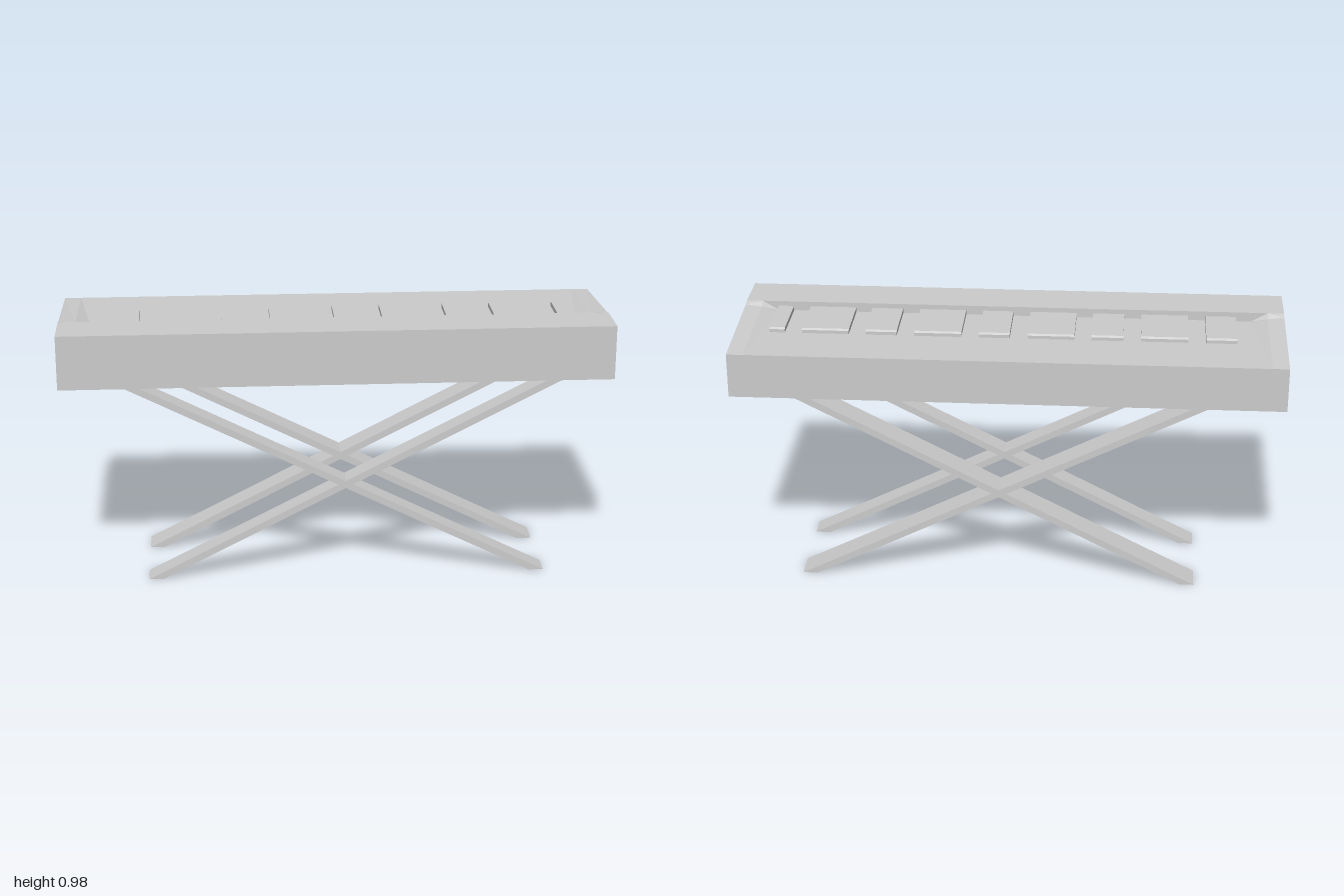
import * as THREE from 'three';

const material = new THREE.MeshStandardMaterial({ color: 0xcccccc, flatShading: true });

const BASE = 0.78;   // underside of the case
const FLOOR = 0.945; // key bed

function mesh(name, geometry) {
  const m = new THREE.Mesh(geometry, material);
  m.name = name;
  return m;
}

// Case: rows of heights from front to back, mirrored in x. The first and last
// row and column drop to the base, which forms the outer walls.
function caseGeometry() {
  const halfX = [1, 1, 0.94, 0.88];
  const rows = [
    [0.3, [BASE, BASE, BASE, BASE]],
    [0.3, [BASE, 0.98, 0.98, 0.98]],
    [0.127, [BASE, 0.98, 0.98, 0.98]],
    [0.127, [BASE, 0.98, 0.98, FLOOR]],     // wall behind the front rail
    [0.102, [BASE, 0.974, 0.966, FLOOR]],
    [-0.3, [BASE, FLOOR, FLOOR, FLOOR]],
    [-0.3, [BASE, BASE, BASE, BASE]],
  ];
  const grid = rows.map(([z, ys]) => {
    const right = halfX.map((x, i) => new THREE.Vector3(x, ys[i], z));
    const left = right.map((p) => new THREE.Vector3(-p.x, p.y, z));
    return [...left, ...right.reverse()];
  });
  const points = [];
  const quad = (a, b, c, d) => points.push(a, b, c, a, c, d);
  for (let r = 0; r < grid.length - 1; r++) {
    for (let i = 0; i < grid[r].length - 1; i++) {
      const a = grid[r][i], b = grid[r][i + 1], c = grid[r + 1][i + 1], d = grid[r + 1][i];
      // mirror the diagonal on the left half
      if (i < 3) points.push(a, b, d, b, c, d);
      else quad(a, b, c, d);
    }
  }
  const first = grid[0], last = grid[grid.length - 1], n = first.length - 1;
  quad(first[0], last[0], last[n], first[n]); // underside
  const g = new THREE.BufferGeometry().setFromPoints(points);
  g.computeVertexNormals();
  return g;
}

// Key: side profile with a small bevel on the back edge, extruded across x.
function keyGeometry(x0, x1) {
  const top = 0.962, back = -0.087, front = 0.127;
  const s = new THREE.Shape([
    [-front, FLOOR - 0.01], [-back, FLOOR - 0.01], [-back, top - 0.005],
    [-back - 0.008, top], [-front, top],
  ].map(([x, y]) => new THREE.Vector2(x, y)));
  const g = new THREE.ExtrudeGeometry(s, { depth: x1 - x0, bevelEnabled: false });
  g.rotateY(Math.PI / 2);
  g.translate(x0, 0, 0);
  return g;
}

// Stand bar: slanted bar cut level at the floor and under the case.
function barGeometry(bottomX, topX, width, zBack, zFront) {
  const s = new THREE.Shape([
    new THREE.Vector2(bottomX, 0), new THREE.Vector2(bottomX + width, 0),
    new THREE.Vector2(topX + width, BASE), new THREE.Vector2(topX, BASE),
  ]);
  const g = new THREE.ExtrudeGeometry(s, { depth: zFront - zBack, bevelEnabled: false });
  g.translate(0, 0, zBack);
  return g;
}

export function createModel() {
  const model = new THREE.Group();
  model.name = 'keyboardOnStand';
  model.add(mesh('case', caseGeometry()));

  // Alternating narrow and wide keys
  const keys = new THREE.Group();
  keys.name = 'keys';
  const spans = [
    [-0.823, -0.711], [-0.647, -0.476], [-0.412, -0.296], [-0.235, -0.064], [0, 0.112],
    [0.176, 0.348], [0.412, 0.527], [0.588, 0.76], [0.823, 0.88],
  ];
  spans.forEach(([x0, x1]) => keys.add(mesh('key', keyGeometry(x0, x1))));
  model.add(keys);

  // Two crossed pairs of bars
  const stand = new THREE.Group();
  stand.name = 'crossStand';
  for (const [zBack, zFront] of [[0.13, 0.215], [-0.192, -0.085]]) {
    stand.add(mesh('bar', barGeometry(0.725, -0.825, 0.055, zBack, zFront)));
    stand.add(mesh('bar', barGeometry(-0.7, 0.825, 0.055, zBack, zFront)));
  }
  model.add(stand);
  return model;
}
